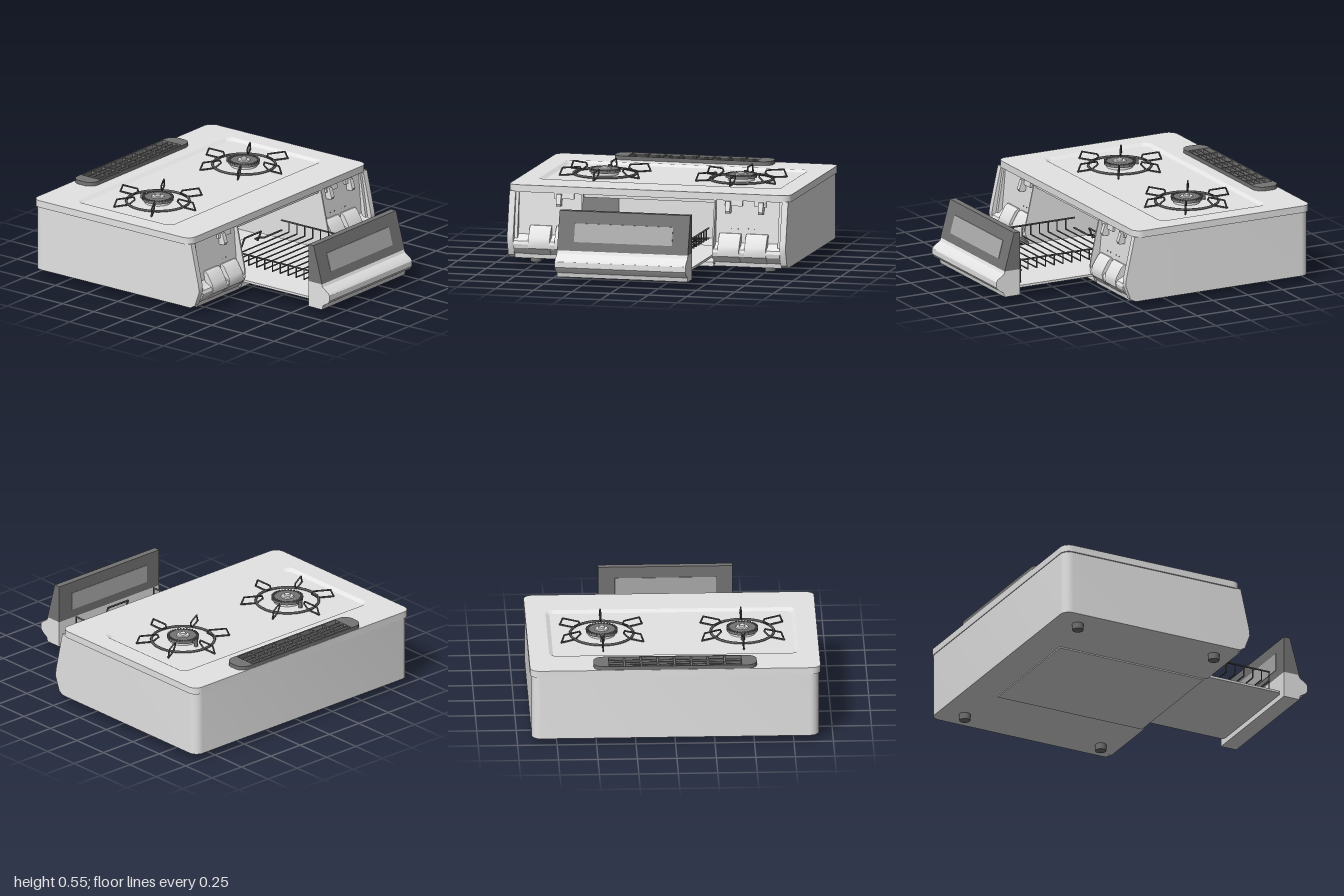
import * as THREE from 'three';
import { mergeGeometries, toCreasedNormals } from 'three/addons/utils/BufferGeometryUtils.js';

const mat = (name, color, side = THREE.FrontSide) => {
  const m = new THREE.MeshStandardMaterial({ color, side });
  m.name = name;
  return m;
};

// rounded rectangle in plan, shape y = -z
function roundRect(cx, cz, hx, hz, r, Type = THREE.Shape) {
  const s = new Type(), x0 = cx - hx, x1 = cx + hx, b = -cz - hz, t = -cz + hz, H = Math.PI / 2;
  s.moveTo(x0 + r, b);
  s.lineTo(x1 - r, b);
  s.absarc(x1 - r, b + r, r, -H, 0);
  s.absarc(x1 - r, t - r, r, 0, H);
  s.absarc(x0 + r, t - r, r, H, 2 * H);
  s.absarc(x0 + r, b + r, r, 2 * H, 3 * H);
  return s;
}

// extrude a plan shape from y0 to y1
function plan(shape, y0, y1) {
  const g = new THREE.ExtrudeGeometry(shape, { depth: y1 - y0, bevelEnabled: false, curveSegments: 8 });
  g.rotateX(-Math.PI / 2).translate(0, y0, 0);
  return toCreasedNormals(g, 0.6);
}

// extrude a [z, y] side profile from x0 to x1
function across(profile, x0, x1) {
  const s = new THREE.Shape(profile.map(([z, y]) => new THREE.Vector2(z, y)));
  const g = new THREE.ExtrudeGeometry(s, { depth: x1 - x0, bevelEnabled: false });
  g.rotateY(-Math.PI / 2).translate(x1, 0, 0);
  return toCreasedNormals(g, 0.5);
}

const box = (x0, x1, y0, y1, z0, z1) => new THREE.BoxGeometry(x1 - x0, y1 - y0, z1 - z0)
  .translate((x0 + x1) / 2, (y0 + y1) / 2, (z0 + z1) / 2);

// round wire through a list of points
function wire(points, r) {
  const parts = [];
  const v = points.map((p) => new THREE.Vector3(...p));
  for (let i = 0; i < v.length - 1; i++) {
    parts.push(new THREE.TubeGeometry(new THREE.LineCurve3(v[i], v[i + 1]), 1, r, 6));
    parts.push(new THREE.SphereGeometry(r, 6, 4).translate(...points[i + 1]));
  }
  parts.push(new THREE.SphereGeometry(r, 6, 4).translate(...points[0]));
  return mergeGeometries(parts);
}

export function createModel() {
  const root = new THREE.Group();
  root.name = 'gasStove';
  const enamel = mat('light grey enamel', 0xe4e4e4);
  const dark = mat('dark grey', 0x747474);
  const wireMat = mat('charcoal wire', 0x5c5c5c);
  const glass = mat('grey window', 0xacacac);
  const sheet = mat('light grey sheet', 0xe4e4e4, THREE.DoubleSide);
  const add = (name, geo, m, parent = root) => {
    const mesh = new THREE.Mesh(geo, m);
    mesh.name = name;
    parent.add(mesh);
  };

  // body shell: U in plan around the grill cavity
  const u = new THREE.Shape(), R = 0.06, X = 0.91;
  u.moveTo(0.43, -0.22).lineTo(X, -0.22).lineTo(X, 0.995 - R);
  u.absarc(X - R, 0.995 - R, R, 0, Math.PI / 2);
  u.absarc(-X + R, 0.995 - R, R, Math.PI / 2, Math.PI);
  u.lineTo(-X, -0.22).lineTo(-0.43, -0.22).lineTo(-0.43, 0.65).lineTo(0.43, 0.65).closePath();
  add('body', plan(u, 0.04, 0.465), enamel);
  add('cavityFloor', box(-0.43, 0.43, 0.04, 0.06, -0.65, 0.26), enamel);
  add('cavityCeiling', box(-0.43, 0.43, 0.44, 0.465, -0.65, 0.25), enamel);
  add('bottomCover', box(-0.42, 0.42, 0.032, 0.041, -0.77, 0.26), enamel);

  // front corners: cheek, lip, recessed panel, flaps and levers
  const cheek = [[0.2, 0.04], [0.26, 0.04], [0.295, 0.06], [0.33, 0.155], [0.325, 0.2], [0.265, 0.465], [0.2, 0.465]];
  const lip = [[0.2, 0.04], [0.28, 0.04], [0.285, 0.07], [0.325, 0.11], [0.33, 0.135], [0.322, 0.155], [0.28, 0.175], [0.26, 0.2], [0.2, 0.2]];
  const flap = [[0.24, 0.068], [0.288, 0.068], [0.33, 0.11], [0.335, 0.15], [0.326, 0.175], [0.29, 0.235], [0.27, 0.25], [0.24, 0.25]];
  for (const s of [-1, 1]) {
    const span = (profile, a, b) => across(profile, Math.min(s * a, s * b), Math.max(s * a, s * b));
    const side = new THREE.Group();
    side.name = s > 0 ? 'leftControls' : 'rightControls';
    root.add(side);
    add('cheek', span(cheek, 0.87, 0.91), enamel, side);
    add('lip', span(lip, 0.43, 0.87), enamel, side);
    add('innerCheek', span(cheek, 0.428, 0.438), enamel, side);
    add('controlPanel', span([[0.2, 0.17], [0.268, 0.17], [0.242, 0.465], [0.2, 0.465]], 0.438, 0.87), enamel, side);
    add('panelEdge', span([[0.22, 0.17], [0.3, 0.17], [0.252, 0.465], [0.22, 0.465]], 0.85, 0.87), enamel, side);
    for (const x of s > 0 ? [0.465, 0.64] : [0.46, 0.632]) add('flap', span(flap, x, x + 0.14), enamel, side);
    // lever position, then the span of the plate behind it
    for (const [x, a, b] of s > 0 ? [[0.52, 0.495, 0.61], [0.735, 0.69, 0.765]] : [[0.585, 0.49, 0.62]]) {
      add('leverPlate', span([[0.22, 0.425], [0.262, 0.425], [0.257, 0.46], [0.22, 0.46]], a, b), enamel, side);
      add('lever', span([[0.24, 0.38], [0.288, 0.38], [0.295, 0.395], [0.275, 0.455], [0.24, 0.455]], x - 0.015, x + 0.015), enamel, side);
    }
    for (const x of s > 0 ? [0.54, 0.58, 0.65, 0.69] : [0.54, 0.58]) {
      add('indicator', box(s * x - 0.003, s * x + 0.003, 0.277, 0.283, 0.255, 0.261), dark, side);
    }
    // feet
    for (const z of [0.148, -0.825]) {
      add('foot', new THREE.CylinderGeometry(0.038, 0.035, 0.045, 24).translate(s * 0.765, 0.0225, z), dark);
    }
  }

  // top plate with a shallow sunken field
  const top = roundRect(0, -0.3675, 0.92, 0.6325, 0.06);
  top.holes.push(roundRect(0, -0.37, 0.79, 0.38, 0.05, THREE.Path));
  add('topPlate', plan(top, 0.46, 0.505), enamel);
  const outer = roundRect(0, -0.37, 0.79, 0.38, 0.05).getPoints(8);
  const floorShape = roundRect(0, -0.37, 0.765, 0.355, 0.04);
  const inner = floorShape.getPoints(8);
  const pos = [], idx = [];
  outer.forEach((p, i) => {
    pos.push(p.x, 0.505, -p.y, inner[i].x, 0.49, -inner[i].y);
    const a = 2 * i, b = 2 * ((i + 1) % outer.length);
    idx.push(a, b, b + 1, a, b + 1, a + 1);
  });
  const slope = new THREE.BufferGeometry();
  slope.setAttribute('position', new THREE.Float32BufferAttribute(pos, 3));
  slope.setIndex(idx);
  slope.computeVertexNormals();
  add('recessSlope', slope, sheet);
  add('recessFloor', new THREE.ShapeGeometry(floorShape, 8).rotateX(-Math.PI / 2).translate(0, 0.49, 0), sheet);

  // rear vent grille
  const vent = roundRect(0, -0.915, 0.517, 0.083, 0.065);
  vent.holes.push(roundRect(0, -0.915, 0.42, 0.073, 0.004, THREE.Path));
  add('ventFrame', plan(vent, 0.503, 0.53), dark);
  const bars = [];
  for (let i = 1; i < 8; i++) bars.push(box(-0.426 + i * 0.106, -0.414 + i * 0.106, 0.506, 0.527, -0.99, -0.84));
  for (let i = 1; i < 4; i++) bars.push(box(-0.42, 0.42, 0.508, 0.524, -0.992 + i * 0.037, -0.985 + i * 0.037));
  add('ventBars', mergeGeometries(bars), dark);

  // burners with wire pan supports
  for (const x of [-0.445, 0.445]) {
    const burner = new THREE.Group();
    burner.name = 'burner';
    burner.position.set(x, 0.49, -0.36);
    root.add(burner);
    const disc = (name, r0, r1, y0, y1, m, n = 32) =>
      add(name, new THREE.CylinderGeometry(r1, r0, y1 - y0, n).translate(0, (y0 + y1) / 2, 0), m, burner);
    disc('burnerBase', 0.085, 0.085, 0, 0.025, enamel);
    disc('burnerHead', 0.1, 0.096, 0.018, 0.036, dark);
    disc('burnerCap', 0.042, 0.038, 0.036, 0.042, enamel);
    disc('burnerNut', 0.022, 0.02, 0.042, 0.054, enamel, 6);
    add('igniter', new THREE.CylinderGeometry(0.013, 0.013, 0.042, 12).translate(0, 0.021, -0.122), dark, burner);
    add('igniterBridge', box(-0.008, 0.008, 0.02, 0.034, -0.12, -0.09), dark, burner);
    const teeth = [];
    for (let i = 0; i < 32; i++) teeth.push(box(0.085, 0.101, 0.03, 0.04, -0.004, 0.004).rotateY(i * Math.PI / 16));
    add('flameTeeth', mergeGeometries(teeth), dark, burner);
    add('supportRing', new THREE.TorusGeometry(0.2, 0.008, 8, 48).rotateX(Math.PI / 2).translate(0, 0.008, 0), wireMat, burner);
    for (let i = 0; i < 6; i++) {
      const arm = wire([[0.2, 0.008, 0], [0.3, 0.008, 0], [0.28, 0.054, 0], [0.165, 0.054, 0], [0.157, 0.036, 0], [0.2, 0.008, 0]], 0.0055);
      add('supportArm', arm.rotateY(Math.PI / 6 + i * Math.PI / 3), wireMat, burner);
    }
  }

  // grill drawer: tray, handle front and window
  const drawer = new THREE.Group();
  drawer.name = 'grillDrawer';
  root.add(drawer);
  add('tray', plan(roundRect(0, 0.315, 0.39, 0.515, 0.03), 0.075, 0.09), enamel, drawer);
  add('drawerHandle', across([[0.83, 0.04], [0.94, 0.04], [0.947, 0.068], [0.985, 0.09], [1, 0.11], [1, 0.145],
    [0.99, 0.16], [0.945, 0.19], [0.935, 0.21], [0.83, 0.21]], -0.427, 0.427), enamel, drawer);
  add('drawerDoor', across([[0.83, 0.21], [0.94, 0.21], [0.872, 0.455], [0.83, 0.455]], -0.427, 0.427), dark, drawer);
  const zAt = (y) => 0.94 - 0.2776 * (y - 0.21);
  add('frontWindow', across([[zAt(0.265) - 0.004, 0.265], [zAt(0.265) + 0.003, 0.265],
    [zAt(0.38) + 0.003, 0.38], [zAt(0.38) - 0.004, 0.38]], -0.32, 0.32), glass, drawer);
  add('rearWindow', box(-0.32, 0.32, 0.265, 0.38, 0.827, 0.832), glass, drawer);

  // wire rack with a raised loop at each end
  const rack = [];
  for (const s of [-1, 1]) {
    rack.push(wire([[s * 0.33, 0.237, 0.03], [s * 0.33, 0.237, 0.775]], 0.006));
    rack.push(wire([[s * 0.33, 0.237, 0.775], [s * 0.33, 0.09, 0.775]], 0.004));
    const half = [[0.33, 0.17, 0.37], [0.15, 0.17, 0.37], [0.13, 0.17, 0.4], [0.095, 0.17, 0.4], [0.085, 0.17, 0.37], [0.085, 0.235, 0.345]];
    const loop = [...half.map(([x, y, z]) => [-x, y, z]), ...half.reverse()];
    rack.push(wire(loop.map(([x, y, z]) => [x, y, 0.4 + s * z]), 0.006));
  }
  for (let i = 0; i < 11; i++) {
    const z = 0.72 - i * 0.063;
    rack.push(wire([[-0.33, 0.237, z], [-0.33, 0.17, z], [0.33, 0.17, z], [0.33, 0.237, z]], 0.0045));
  }
  add('wireRack', mergeGeometries(rack), wireMat, drawer);
  return root;
}
